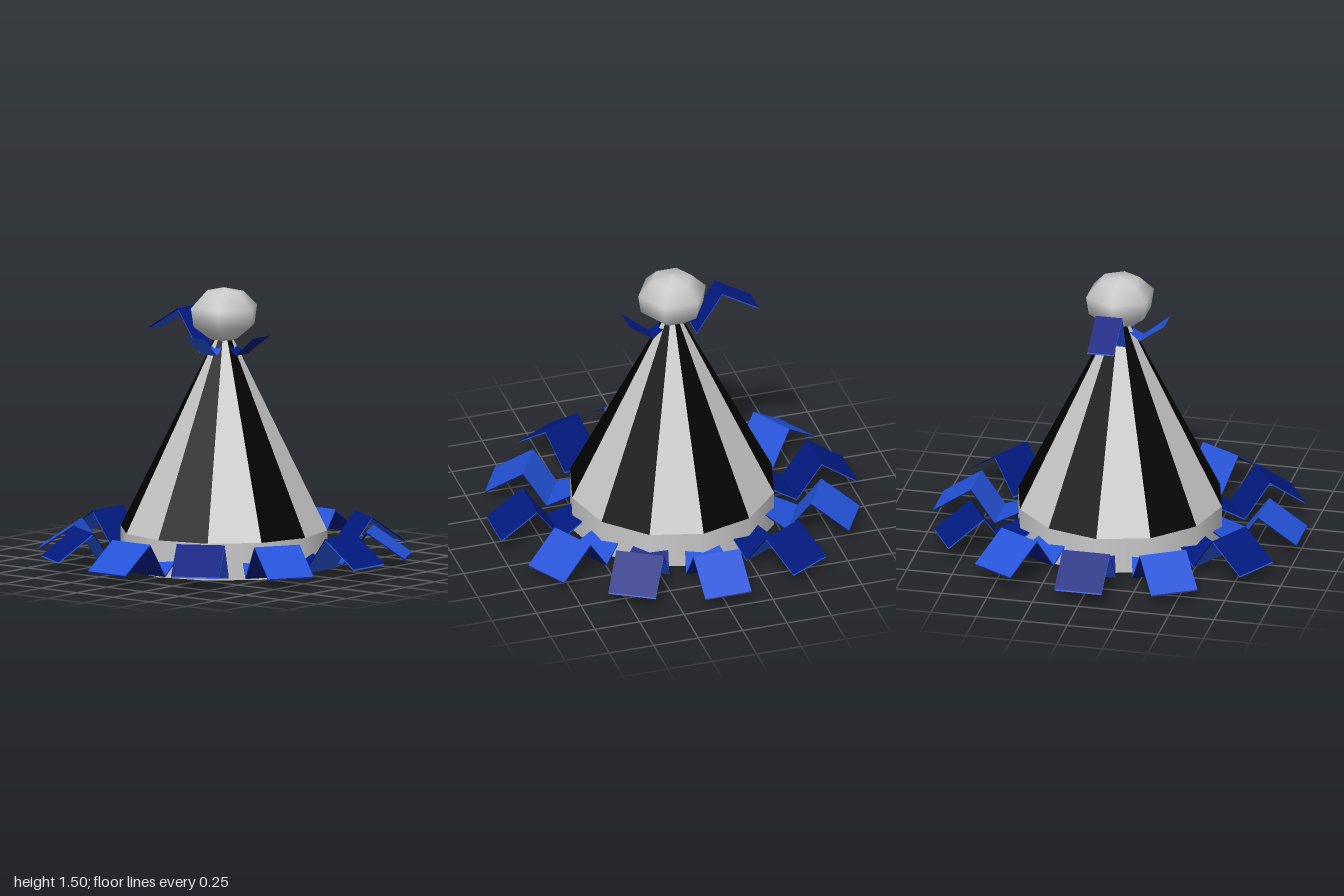
import * as THREE from 'three';

const mat = (name, color, side = THREE.FrontSide) => {
  const m = new THREE.MeshStandardMaterial({ color, side });
  m.name = name;
  return m;
};

// Folded sheet running out along +z; each section is [radius, height, halfWidth]
function foldedStrip(sections) {
  const pos = [];
  for (let i = 0; i < sections.length - 1; i++) {
    const [r0, y0, w0] = sections[i];
    const [r1, y1, w1] = sections[i + 1];
    const a = [-w0, y0, r0], b = [w0, y0, r0], c = [w1, y1, r1], d = [-w1, y1, r1];
    pos.push(...a, ...b, ...c, ...a, ...c, ...d);
  }
  // Corners run anticlockwise as seen from above
  for (let i = 0; i < pos.length; i += 9) {
    const second = pos.slice(i + 3, i + 6);
    const ux = pos[i + 3] - pos[i], uz = pos[i + 5] - pos[i + 2];
    const vx = pos[i + 6] - pos[i], vz = pos[i + 8] - pos[i + 2];
    if (uz * vx - ux * vz < 0) {
      for (let k = 0; k < 3; k++) {
        pos[i + 3 + k] = pos[i + 6 + k];
        pos[i + 6 + k] = second[k];
      }
    }
  }
  const g = new THREE.BufferGeometry();
  g.setAttribute('position', new THREE.Float32BufferAttribute(pos, 3));
  g.computeVertexNormals();
  return g;
}

export function createModel() {
  const model = new THREE.Group();
  model.name = 'stripedConeHat';

  const white = mat('paleGrey', 0xc8c8c8);
  const black = mat('black', 0x010101);
  const blue = mat('brightBlue', 0x2452d8, THREE.DoubleSide);
  const navy = mat('navyBlue', 0x021a80, THREE.DoubleSide);

  const add = (name, geometry, material, turn = 0, y = 0) => {
    const mesh = new THREE.Mesh(geometry, material);
    mesh.name = name;
    mesh.rotation.y = turn;
    mesh.position.y = y;
    model.add(mesh);
  };

  // Two-tone flap: an upper sheet with a lining of the other blue just beneath it
  const addLined = (name, geometry, upper, lining, turn, y = 0) => {
    add(name, geometry, upper, turn, y);
    add(name + 'Lining', geometry, lining, turn, y - 0.008);
  };

  // Base band
  add('baseBand', new THREE.CylinderGeometry(0.56, 0.56, 0.2, 12).translate(0, 0.1, 0), white);

  // Cone with alternating stripes, one triangle per side
  const cone = new THREE.ConeGeometry(0.56, 1.13, 12, 1, true).toNonIndexed();
  cone.translate(0, 0.2 + 1.13 / 2, 0);
  cone.computeVertexNormals();
  cone.clearGroups();
  for (let i = 0; i < 12; i++) cone.addGroup(i * 3, 3, i % 2);
  add('stripedCone', cone, [black, white]);

  // Six-sided ball on the tip
  const ballProfile = [[0, 1.2], [0.09, 1.235], [0.175, 1.3], [0.19, 1.4], [0.11, 1.48], [0, 1.505]]
    .map(([r, y]) => new THREE.Vector2(r, y));
  add('tipBall', new THREE.LatheGeometry(ballProfile, 6, Math.PI / 2), white);

  // Ring of folded ruffle flaps, alternating blues
  const brightFlap = foldedStrip([[0.5, 0.11, 0.087], [0.66, 0.034, 0.13], [0.79, 0.217, 0.13], [1, 0.074, 0.13]]);
  const navyFlap = foldedStrip([[0.5, 0.12, 0.087], [0.66, 0.038, 0.13], [0.8, 0.232, 0.13], [1, 0.088, 0.13]]);
  for (let i = 0; i < 12; i++) {
    const name = 'ruffleFlap' + (i + 1), turn = i * Math.PI / 6;
    const lift = i === 8 ? 0.025 : 0; // one flap sits slightly higher
    if (i % 2 === 0) addLined(name, brightFlap, blue, navy, turn, lift);
    else addLined(name, navyFlap, navy, blue, turn);
  }

  // Small flaps below the ball: short ones at front and left, a long folded one at right
  const shortFlap = foldedStrip([[0.06, 1.19, 0.035], [0.12, 1.15, 0.05], [0.26, 1.26, 0.073]]);
  add('frontTipFlap', shortFlap, blue);
  add('leftTipFlap', shortFlap, navy, Math.PI / 2);
  const longFlap = foldedStrip([[0.12, 1.15, 0.06], [0.26, 1.375, 0.073], [0.465, 1.25, 0.073]]);
  addLined('rightTipFlap', longFlap, navy, blue, -Math.PI / 2);

  return model;
}
